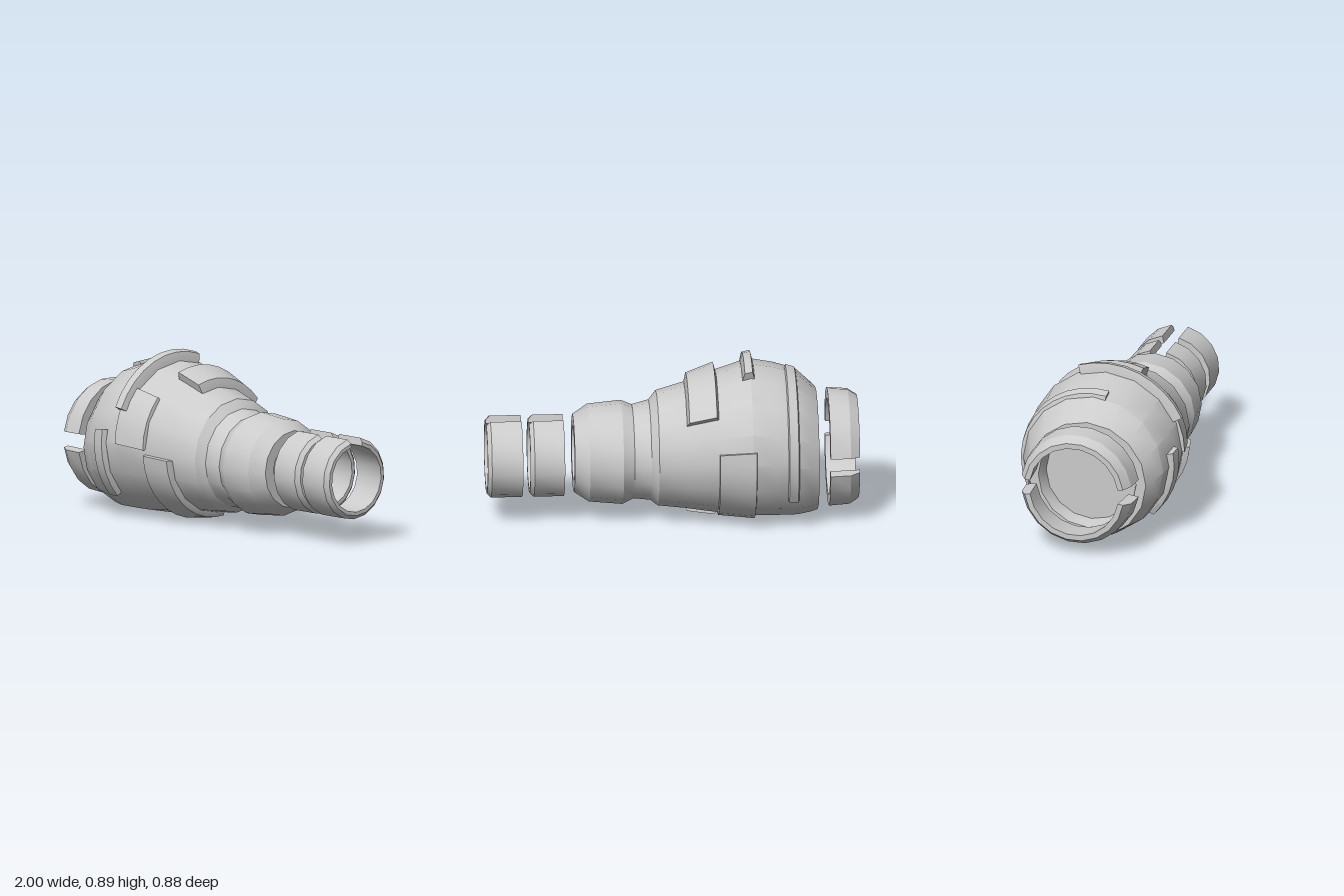
import * as THREE from 'three';
import { toCreasedNormals } from 'three/addons/utils/BufferGeometryUtils.js';

const material = new THREE.MeshStandardMaterial({ color: 0xcccccc });
const AXIS = 0.3625;

// Outer hull stations: [x, radius, centre height], from the narrow end to the wide end
const HULL = [
  [0.53, 0.21, 0.36], [0.45, 0.263, 0.36], [0.27, 0.28, 0.36], [0.21, 0.253, AXIS],
  [0.12, 0.27, 0.37], [0.08, 0.31, 0.38], [-0.07, 0.34, 0.394], [-0.2, 0.375, 0.41], [-0.42, 0.423, 0.433],
  [-0.55, 0.412, 0.42], [-0.67, 0.394, 0.402], [-0.74, 0.356, 0.375], [-0.78, 0.33, 0.36],
];

// Radius and centre height of the hull at any x
function hullAt(x) {
  for (let i = 0; i < HULL.length - 1; i++) {
    const a = HULL[i], b = HULL[i + 1];
    if (x <= a[0] && x >= b[0]) {
      const t = (a[0] - x) / (a[0] - b[0]);
      return [a[1] + (b[1] - a[1]) * t, a[2] + (b[2] - a[2]) * t];
    }
  }
  return [0.3, AXIS];
}

// Sweeps a section of [x, radius, centre height] around the x axis.
// Angles in degrees: 0 = front, 90 = top, 180 = back, 270 = bottom.
function sweep(name, section, from, to, steps, closed) {
  const pos = [];
  const point = ([x, r, cy], k) => {
    const a = THREE.MathUtils.degToRad(from + ((to - from) * k) / steps);
    return [x, cy + r * Math.sin(a), r * Math.cos(a)];
  };
  const n = section.length;
  for (let k = 0; k < steps; k++) {
    for (let i = 0; i < (closed ? n : n - 1); i++) {
      const p = section[i], q = section[(i + 1) % n];
      const a = point(p, k), b = point(p, k + 1), c = point(q, k + 1), d = point(q, k);
      if (p[1] > 0) pos.push(...a, ...b, ...c);
      if (q[1] > 0) pos.push(...a, ...c, ...d);
    }
  }
  // End caps of a partial sweep
  if (closed) {
    for (let i = 1; i < n - 1; i++) {
      pos.push(...point(section[0], 0), ...point(section[i], 0), ...point(section[i + 1], 0));
      pos.push(...point(section[0], steps), ...point(section[i + 1], steps), ...point(section[i], steps));
    }
  }
  const geometry = new THREE.BufferGeometry();
  geometry.setAttribute('position', new THREE.Float32BufferAttribute(pos, 3));
  const mesh = new THREE.Mesh(toCreasedNormals(geometry, 0.45), material);
  mesh.name = name;
  return mesh;
}

// Raised plate that follows the hull
function plate(name, x0, x1, from, to, height, bevel) {
  const at = (x, lift) => {
    const [r, cy] = hullAt(x);
    return [x, r + lift, cy];
  };
  const section = [
    at(x0, -0.03), at(x1, -0.03), at(x1, 0), at(x1 - bevel, height), at(x0 + bevel, height), at(x0, 0),
  ];
  return sweep(name, section, from, to, Math.ceil((to - from) / 11.25), true);
}

export function createModel() {
  const model = new THREE.Group();
  model.name = 'segmentedHousing';

  // Main hull with a blind bore at the narrow end and a recess at the wide end
  model.add(sweep('hull', [
    [0.44, 0, 0.36], [0.44, 0.11, 0.36], [0.53, 0.15, 0.36],
    ...HULL,
    [-0.78, 0.275, 0.36], [-0.7, 0.255, 0.36], [-0.7, 0, 0.36],
  ], 0, 360, 16, false));

  // Raised plates and straps
  model.add(
    plate('upperBlock', -0.24, -0.07, 70, 141, 0.044, 0.012),
    plate('topStrap', -0.44, -0.375, 25, 110, 0.044, 0.012),
    plate('frontPanel', -0.42, -0.235, 0, 44, 0.014, 0.003),
    plate('lowerBlock', -0.24, -0.07, -98, -4, 0.026, 0.012),
    plate('backPanel', -0.44, -0.24, 170, 257, 0.016, 0.003),
    plate('frontRib', -0.6, -0.51, -43, 10, 0.024, 0.012),
    plate('rearRib', -0.67, -0.61, 80, 212, 0.014, 0.006),
  );

  // Two split clamp rings past the narrow end
  for (const [x0, x1] of [[0.585, 0.77], [0.81, 1]]) {
    const c = 0.36;
    const ring = sweep('splitRing', [
      [x0, 0.18, c], [x1, 0.18, c], [x1, 0.2, c], [x1 - 0.022, 0.222, c], [x0, 0.222, c],
    ], 102, 438, 16, true);
    ring.position.z = -0.024;
    model.add(ring);
  }

  // Two half collars past the wide end
  for (const [name, from] of [['upperCollar', 9], ['lowerCollar', 189]]) {
    const c = 0.37;
    const collar = sweep(name, [
      [-1, 0.25, c], [-0.84, 0.262, c], [-0.84, 0.32, c], [-0.95, 0.312, c], [-1, 0.28, c],
    ], from, from + 162, 9, true);
    collar.position.z = -0.007;
    model.add(collar);
  }
  return model;
}
